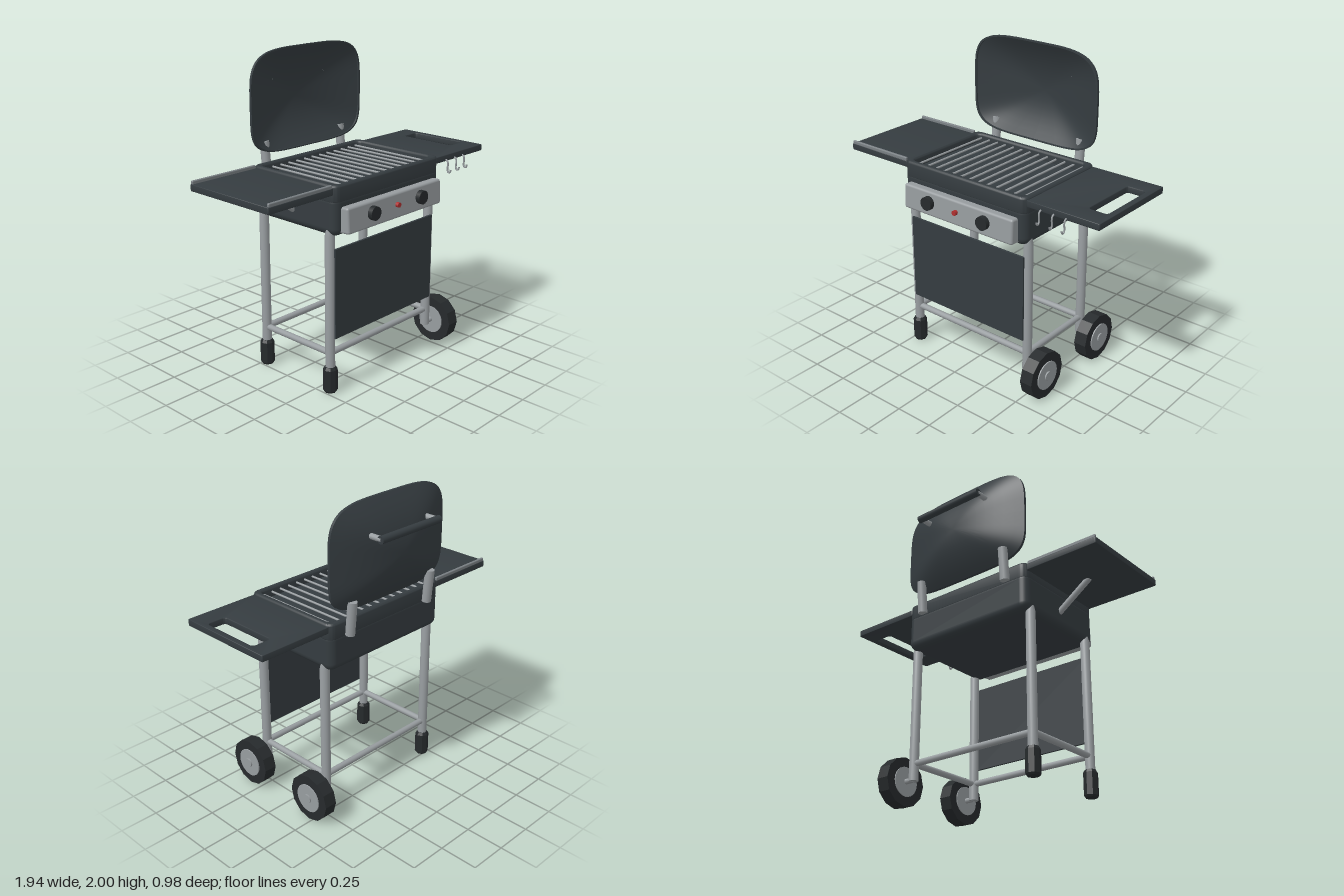
import * as THREE from 'three';
import { toCreasedNormals } from 'three/addons/utils/BufferGeometryUtils.js';
import { RoundedBoxGeometry } from 'three/addons/geometries/RoundedBoxGeometry.js';

const mat = (color, extra = {}) => new THREE.MeshStandardMaterial({ color, ...extra });
const V = (x, y, z) => new THREE.Vector3(x, y, z);

export function createModel() {
  const model = new THREE.Group();
  const dark = mat(0x353c40), black = mat(0x262a2c), metal = mat(0x979c9f);
  const blackFlat = mat(0x262a2c, { flatShading: true });
  const trim = mat(0x7a8084), red = mat(0xb03030);
  const lidMat = mat(0x353c40, { side: THREE.DoubleSide });

  const add = (name, geo, material, x = 0, y = 0, z = 0, parent = model) => {
    const m = new THREE.Mesh(geo, material);
    m.name = name;
    m.position.set(x, y, z);
    parent.add(m);
    return m;
  };

  // Round bar between two points
  const bar = (name, a, b, r, material = metal, sides = 12) => {
    const d = b.clone().sub(a);
    const m = add(name, new THREE.CylinderGeometry(r, r, d.length(), sides), material);
    m.position.copy(a).add(b).multiplyScalar(0.5);
    m.quaternion.setFromUnitVectors(V(0, 1, 0), d.normalize());
    return m;
  };

  // Rounded rectangle outline, counter-clockwise
  const roundRect = (P, cx, cy, w, h, r) => {
    const p = new P(), x = w / 2 - r, y = h / 2 - r;
    p.absarc(cx + x, cy + y, r, 0, Math.PI / 2);
    p.absarc(cx - x, cy + y, r, Math.PI / 2, Math.PI);
    p.absarc(cx - x, cy - y, r, Math.PI, Math.PI * 1.5);
    p.absarc(cx + x, cy - y, r, Math.PI * 1.5, Math.PI * 2);
    p.closePath();
    return p;
  };

  // Horizontal slab with a rounded outline and an optional hole
  const slab = (w, d, h, r, bevel, hole) => {
    const s = roundRect(THREE.Shape, 0, 0, w - 2 * bevel, d - 2 * bevel, Math.max(r - bevel, 0.002));
    if (hole) s.holes.push(roundRect(THREE.Path, ...hole));
    const g = new THREE.ExtrudeGeometry(s, {
      depth: h - 2 * bevel, bevelEnabled: true, bevelSize: bevel, bevelThickness: bevel,
      bevelSegments: 3, curveSegments: 6,
    });
    g.translate(0, 0, bevel).rotateX(-Math.PI / 2);
    return toCreasedNormals(g, 0.6);
  };

  // Fire box: rounded tub with a raised rim around the grate
  add('fireBox', new RoundedBoxGeometry(0.96, 0.25, 0.7, 4, 0.05), dark, 0, 1.125, 0.05);
  add('fireBoxRim', slab(0.96, 0.7, 0.11, 0.05, 0.015, [0, 0, 0.91, 0.65, 0.05]), dark, 0, 1.2, 0.05);
  for (let i = 0; i < 13; i++) {
    const x = (i - 6) * 0.0685;
    bar('grateBar', V(x, 1.28, -0.27), V(x, 1.28, 0.37), 0.007, metal, 8);
  }

  // Control panel with knobs and ignition button
  const panel = new RoundedBoxGeometry(0.86, 0.16, 0.08, 3, 0.015);
  add('controlPanel', panel, metal, 0, 1.1, 0.415).rotation.x = -0.05;
  for (const s of [-1, 1])
    bar('knob', V(s * 0.22, 1.11, 0.44), V(s * 0.22, 1.11, 0.485), 0.043, black, 20);
  bar('ignitionButton', V(0, 1.11, 0.44), V(0, 1.11, 0.476), 0.016, red);

  // Legs, feet, wheels
  const turned = (pts, sides) =>
    toCreasedNormals(new THREE.LatheGeometry(pts.map(p => new THREE.Vector2(...p)), sides), 0.7);
  const legX = 0.457, zs = [0.335, -0.225];
  const leg = turned([[0, 0.145], [0.03, 0.145], [0.03, 1.0], [0.02, 1.05], [0, 1.05]], 16);
  const foot = new THREE.LatheGeometry(
    [[0, 0], [0.037, 0], [0.045, 0.012], [0.045, 0.15], [0.035, 0.168], [0, 0.168]]
      .map(p => new THREE.Vector2(...p)), 8);
  for (const z of zs) {
    add('leg', leg, metal, -legX, 0, z);
    add('leg', leg, metal, legX, 0, z);
    add('foot', foot, blackFlat, -legX, 0, z);
    bar('axle', V(legX, 0.155, z), V(0.54, 0.155, z), 0.017);
    const tyre = add('tyre', new THREE.CylinderGeometry(0.155, 0.155, 0.085, 12), blackFlat, 0.567, 0.155, z);
    tyre.rotation.z = -Math.PI / 2;
    bar('wheelHub', V(0.518, 0.155, z), V(0.617, 0.155, z), 0.093, metal, 24);
    bar('hubCap', V(0.61, 0.155, z), V(0.626, 0.155, z), 0.03);
    bar('lowerRail', V(-legX, 0.255, z), V(legX, 0.255, z), 0.02);
  }
  for (const s of [-1, 1])
    bar('sideRail', V(s * legX, 0.255, zs[1]), V(s * legX, 0.255, zs[0]), 0.02);
  add('frontPanel', new THREE.BoxGeometry(0.9, 0.565, 0.015), dark, 0, 0.637, 0.367);

  // Side shelves and their braces
  add('plainShelf', slab(0.5, 0.66, 0.042, 0.008, 0.005), dark, -0.72, 1.254, 0.05);
  for (const z of [-0.27, 0.37])
    add('shelfEdgeRail', new RoundedBoxGeometry(0.485, 0.024, 0.018, 2, 0.006), trim, -0.722, 1.304, z);
  add('handleShelf', slab(0.5, 0.66, 0.042, 0.008, 0.005, [0.147, 0.005, 0.135, 0.41, 0.025]),
    dark, 0.72, 1.254, 0.05);
  for (const s of [-1, 1])
    bar('shelfBrace', V(s * 0.46, 1.095, 0.05), V(s * 0.7, 1.262, 0.05), 0.02);

  // Utensil hooks
  const hookPath = new THREE.CatmullRomCurve3([
    V(0, 1.265, 0.375), V(0, 1.255, 0.392), V(0, 1.235, 0.396), V(0, 1.195, 0.394),
    V(0, 1.182, 0.405), V(0, 1.19, 0.416), V(0, 1.205, 0.418)]);
  const hook = new THREE.TubeGeometry(hookPath, 20, 0.006, 6);
  for (const x of [0.575, 0.665, 0.75]) add('hook', hook, metal, x);

  // Open lid: thin domed shell from scaled copies of a rounded outline
  const rings = [];
  for (let i = 0; i <= 8; i++) {
    const s = 0.975 * i / 8;
    rings.push([s, -0.295 - 0.112 * (1 - (s / 0.975) ** 2)]);
  }
  rings.push([0.975, -0.285], [1, -0.285], [1, -0.302]);
  for (let i = 7; i >= 0; i--) rings.push([i / 8, -0.302 - 0.118 * (1 - (i / 8) ** 2)]);
  const N = 72, pos = [], idx = [];
  const pow = (v, e) => Math.sign(v) * Math.abs(v) ** e;
  for (const [s, z] of rings)
    for (let j = 0; j < N; j++) {
      const t = j / N * Math.PI * 2, c = Math.cos(t), n = Math.sin(t);
      const e = n > 0 ? 0.48 : 0.42;
      pos.push(s * 0.482 * pow(c, e), 1.66 + s * (n > 0 ? 0.34 : 0.305) * pow(n, e), z);
    }
  for (let i = 0; i < rings.length - 1; i++)
    for (let j = 0; j < N; j++) {
      const a = i * N + j, b = i * N + (j + 1) % N;
      if (i > 0) idx.push(a, a + N, b);
      if (i < rings.length - 2) idx.push(b, a + N, b + N);
      else continue;
      if (i === 0) idx.splice(-3, 3, a, a + N, b + N);
    }
  const lidGeo = new THREE.BufferGeometry();
  lidGeo.setAttribute('position', new THREE.Float32BufferAttribute(pos, 3));
  lidGeo.setIndex(idx);
  add('lid', toCreasedNormals(lidGeo, 0.6), lidMat);

  // Lid handle and hinge arms
  bar('lidHandle', V(-0.25, 1.81, -0.465), V(0.25, 1.81, -0.465), 0.024, dark, 16);
  for (const s of [-1, 1]) {
    bar('handlePost', V(s * 0.235, 1.81, -0.375), V(s * 0.235, 1.81, -0.465), 0.018);
    bar('hingeArm', V(s * 0.338, 1.43, -0.338), V(s * 0.338, 1.215, -0.318), 0.03);
  }
  return model;
}
